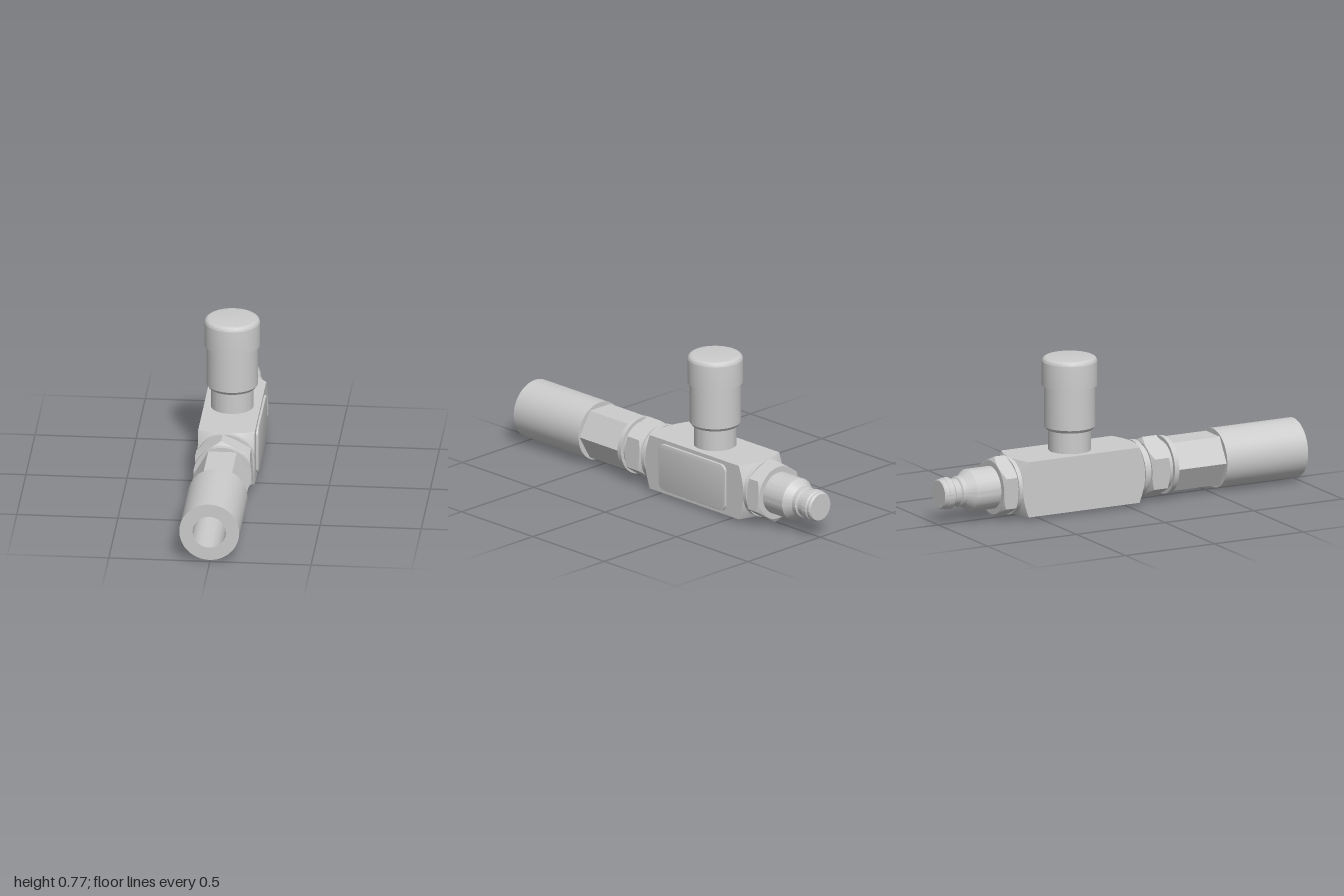
import * as THREE from 'three';
import { toCreasedNormals } from 'three/addons/utils/BufferGeometryUtils.js';

const AXIS_X = -0.003, AXIS_Y = 0.158, CREASE = 0.4;

export function createModel() {
  const model = new THREE.Group();
  model.name = 'inlineValve';
  const material = new THREE.MeshStandardMaterial({ color: 0xcccccc });

  function add(name, geometry, x = AXIS_X, y = AXIS_Y, z = 0) {
    const mesh = new THREE.Mesh(toCreasedNormals(geometry, CREASE), material);
    mesh.name = name;
    mesh.position.set(x, y, z);
    model.add(mesh);
    return mesh;
  }

  // Turned part from [radius, height] pairs, running upwards on the outside
  const turned = (points) =>
    new THREE.LatheGeometry(points.map(([r, h]) => new THREE.Vector2(r, h)), 72);
  const turnedAlongZ = (points) => turned(points).rotateX(Math.PI / 2);

  // Regular prism along z whose corners are cut by a cone at both ends
  function chamferedPrism(sides, apothem, z0, z1, rotation, slope) {
    const perSide = 12, count = sides * perSide, step = (Math.PI * 2) / sides;
    const disc = apothem * 0.985;
    const ring = (radiusAt, zAt) => Array.from({ length: count }, (_, j) => {
      const phi = ((j % perSide) / perSide) * step - step / 2;
      const edge = apothem / Math.cos(phi);
      const a = rotation + (j / perSide) * step;
      const r = radiusAt(edge);
      return [r * Math.cos(a), r * Math.sin(a), zAt(edge)];
    });
    const drop = (edge) => (edge - disc) * slope;
    const rings = [
      ring(() => 0, () => z0),
      ring(() => disc, () => z0),
      ring((e) => e, (e) => z0 + drop(e)),
      ring((e) => e, (e) => z1 - drop(e)),
      ring(() => disc, () => z1),
      ring(() => 0, () => z1),
    ];
    const positions = [];
    for (let i = 0; i < rings.length - 1; i++) {
      for (let j = 0; j < count; j++) {
        const k = (j + 1) % count;
        const a = rings[i][j], b = rings[i][k], c = rings[i + 1][k], d = rings[i + 1][j];
        if (i > 0) positions.push(...a, ...b, ...c);
        else positions.push(...a, ...c, ...d);
        if (i > 0 && i < rings.length - 2) positions.push(...a, ...c, ...d);
      }
    }
    const geometry = new THREE.BufferGeometry();
    geometry.setAttribute('position', new THREE.Float32BufferAttribute(positions, 3));
    return geometry;
  }

  // Square valve block with cone-cut ends
  add('valveBlock', chamferedPrism(4, 0.14, -0.602, 0.088, Math.PI / 4, 0.55));

  // Raised rounded plate on the left side of the block
  const w = 0.232, h = 0.119, r = 0.035;
  const plate = new THREE.Shape();
  plate.absarc(w - r, h - r, r, 0, Math.PI / 2);
  plate.absarc(-w + r, h - r, r, Math.PI / 2, Math.PI);
  plate.absarc(-w + r, -h + r, r, Math.PI, Math.PI * 1.5);
  plate.absarc(w - r, -h + r, r, Math.PI * 1.5, Math.PI * 2);
  plate.closePath();
  const plateGeometry = new THREE.ExtrudeGeometry(plate, {
    depth: 0.011, bevelEnabled: true, bevelThickness: 0.004, bevelSize: 0.004,
    bevelOffset: -0.002, bevelSegments: 3, curveSegments: 10,
  }).rotateY(Math.PI / 2);
  add('sidePlate', plateGeometry, 0.133, AXIS_Y, -0.25);

  // Hexagonal lock nuts at both ends of the block
  const tilt = Math.PI / 2 + 0.07;
  add('frontNut', chamferedPrism(6, 0.136, 0.13, 0.232, tilt, 0.55));
  add('backNut', chamferedPrism(6, 0.136, -0.705, -0.622, tilt, 0.55));

  // Washers and the thread between them
  const washer = (name, z0, z1) =>
    add(name, turnedAlongZ([[0, z0], [0.144, z0], [0.144, z1], [0, z1]]));
  washer('frontWasher', 0.088, 0.113);
  washer('collarWasher', 0.252, 0.277);
  washer('backWasher', -0.624, -0.602);
  add('frontThread', turnedAlongZ([[0, 0.08], [0.126, 0.08], [0.126, 0.26], [0, 0.26]]));

  // Hexagonal shank and bored sleeve at the front
  add('hexShank', chamferedPrism(6, 0.122, 0.27, 0.55, 0, 0));
  add('frontSleeve', turnedAlongZ([
    [0, 0.545], [0.148, 0.545], [0.148, 1], [0.082, 1], [0.082, 0.58], [0, 0.58],
  ]));

  // Stepped plug nipple at the back
  add('backNipple', turnedAlongZ([
    [0, -1], [0.068, -1], [0.074, -0.992], [0.074, -0.978], [0.079, -0.972],
    [0.079, -0.946], [0.068, -0.936], [0.068, -0.906], [0.077, -0.9],
    [0.077, -0.877], [0.106, -0.838], [0.106, -0.69], [0, -0.69],
  ]));

  // Upright adjuster: neck, barrel and rounded cap
  const valveZ = -0.262;
  add('adjusterNeck', turned([[0, 0.28], [0.105, 0.28], [0.105, 0.41], [0, 0.41]]),
    AXIS_X, 0, valveZ);
  add('adjusterBarrel', turned([
    [0, 0.405], [0.116, 0.405], [0.127, 0.42], [0.127, 0.63], [0, 0.63],
  ]), AXIS_X, 0, valveZ);
  const cap = [[0, 0.626], [0.137, 0.626]];
  for (let i = 0; i <= 8; i++) {
    const a = (i / 8) * Math.PI / 2;
    cap.push([0.113 + 0.024 * Math.cos(a), 0.746 + 0.024 * Math.sin(a)]);
  }
  cap.push([0, 0.77]);
  add('adjusterCap', turned(cap), AXIS_X, 0, valveZ);

  return model;
}
